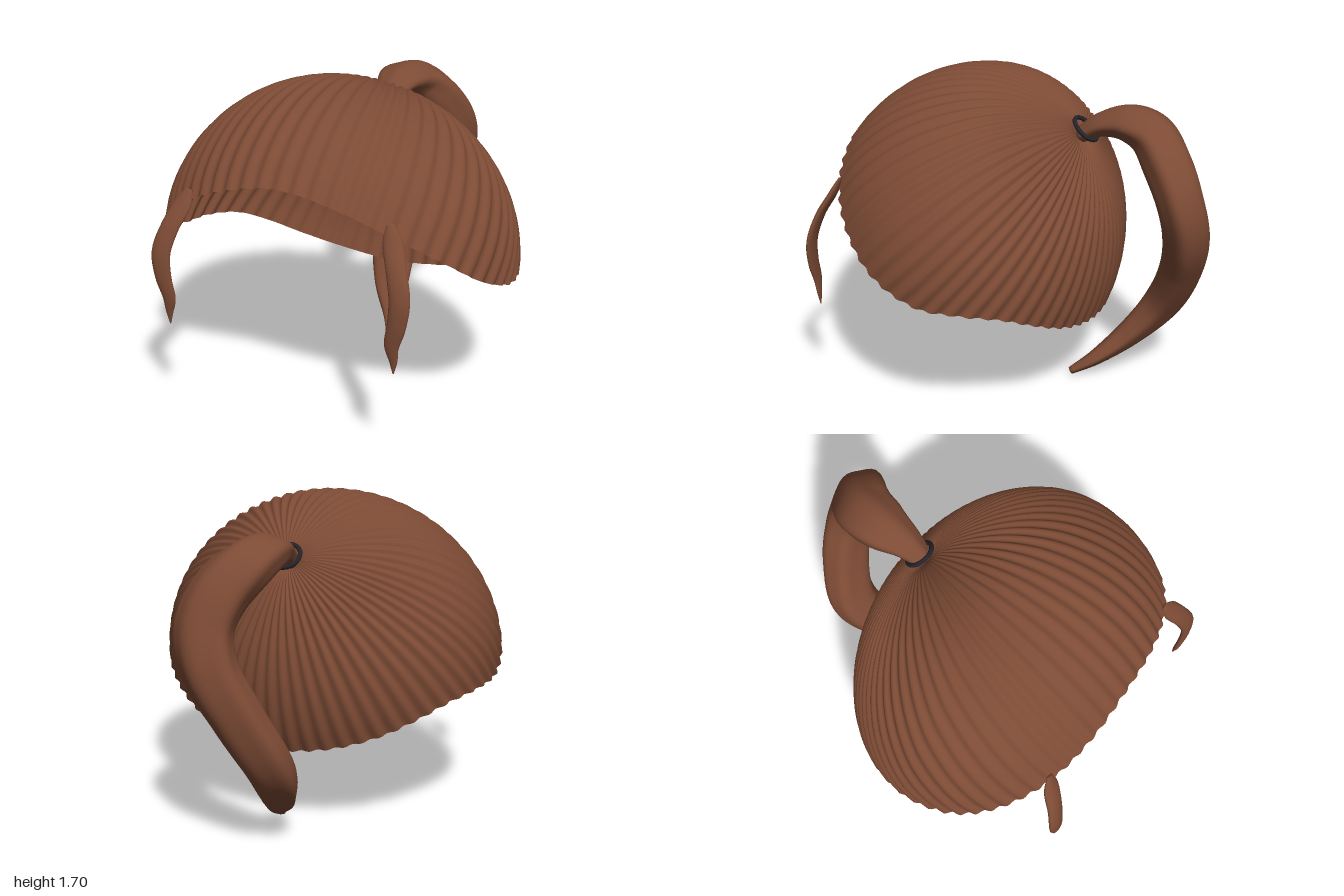
import * as THREE from 'three';

const hair = new THREE.MeshStandardMaterial({ color: 0x7d4b35, side: THREE.DoubleSide });
const dark = new THREE.MeshStandardMaterial({ color: 0x24242a });
const V = (x, y, z) => new THREE.Vector3(x, y, z);

// Smooth surface through rows of points, each row a closed loop
function skin(name, rows) {
  const n = rows[0].length;
  const index = [];
  for (let i = 0; i < rows.length - 1; i++) {
    for (let j = 0; j < n; j++) {
      const a = i * n + j, b = i * n + (j + 1) % n;
      index.push(a, b, a + n, b, b + n, a + n);
    }
  }
  const geo = new THREE.BufferGeometry().setFromPoints(rows.flat());
  geo.setIndex(index);
  geo.computeVertexNormals();
  const mesh = new THREE.Mesh(geo, hair);
  mesh.name = name;
  return mesh;
}

// Lock of hair: sections are [x, y, z, half width, half depth]
function lock(name, sections, lobes, depth, steps, sides) {
  const path = new THREE.CatmullRomCurve3(sections.map(s => V(s[0], s[1], s[2])));
  const size = new THREE.CatmullRomCurve3(sections.map((s, i) => V(s[3], s[4], i * 0.1)));
  const rows = [];
  for (let i = 0; i <= steps; i++) {
    const t = i / steps;
    const c = path.getPoint(t), w = size.getPoint(t), T = path.getTangent(t);
    const side = V(1, 0, 0).addScaledVector(T, -T.x).normalize();
    const up = T.clone().cross(side);
    const row = [];
    for (let j = 0; j < sides; j++) {
      const a = j / sides * Math.PI * 2;
      const r = 1 + depth * Math.cos(lobes * a + 0.6);
      row.push(c.clone()
        .addScaledVector(side, w.x * r * Math.cos(a))
        .addScaledVector(up, w.y * r * Math.sin(a)));
    }
    rows.push(row);
  }
  // Close both ends
  rows.unshift(rows[0].map(() => path.getPoint(0)));
  rows.push(rows[0].map(() => path.getPoint(1)));
  return skin(name, rows);
}

// Ribbed cap: arcs over an ellipsoid from the hairline to the gathering point
function cap() {
  const toUnit = p => V(p.x / 0.945, (p.y - 0.82) / 0.885, (p.z - 0.25) / (p.z > 0.25 ? 0.85 : 0.75)).normalize();
  const fromUnit = (u, k) => V(u.x * k * 0.945, 0.82 + u.y * k * 0.885, 0.25 + u.z * k * (u.z > 0 ? 0.85 : 0.75));
  const half = [
    [0, 1.35, 0.93], [0.28, 1.30, 0.92], [0.53, 1.19, 0.86], [0.75, 1.03, 0.71],
    [0.88, 0.88, 0.52], [0.95, 0.78, 0.28], [0.93, 0.76, 0.10], [0.84, 0.72, -0.10],
    [0.71, 0.65, -0.22], [0.53, 0.56, -0.32], [0.29, 0.48, -0.40], [0, 0.44, -0.43],
  ];
  const mirrored = half.slice(1, -1).reverse().map(([x, y, z]) => [-x, y, z]);
  const rim = new THREE.CatmullRomCurve3([...half, ...mirrored].map(p => V(...p)), true);
  const ribs = 60, n = ribs * 6, steps = 36;
  const ends = rim.getSpacedPoints(n).slice(0, n).map(toUnit);
  const pole = toUnit(V(0, 1.44, -0.3));
  const rows = [];
  for (let i = 0; i <= steps; i++) {
    const t = 1 - Math.pow(i / steps, 0.8);
    rows.push(ends.map((e, j) => {
      const ang = pole.angleTo(e);
      const u = pole.clone().multiplyScalar(Math.sin((1 - t) * ang))
        .addScaledVector(e, Math.sin(t * ang)).divideScalar(Math.sin(ang));
      const wave = 0.009 * Math.cos(j / n * ribs * Math.PI * 2) * Math.min(1, t * 3);
      const dip = 0.05 * Math.exp(-Math.pow(t * ang / 0.08, 2));
      return fromUnit(u, 1 + wave - dip);
    }));
  }
  return skin('hairCap', rows);
}

export function createModel() {
  const model = new THREE.Group();
  model.name = 'ponytailHair';
  model.add(cap());

  // Ponytail sweeping up, back and down to a tip
  model.add(lock('ponytail', [
    [0, 1.41, -0.28, 0.055, 0.04], [0, 1.48, -0.39, 0.09, 0.06], [0, 1.505, -0.53, 0.135, 0.09],
    [0.03, 1.465, -0.66, 0.15, 0.11], [0.12, 1.34, -0.77, 0.155, 0.12], [0.17, 1.17, -0.85, 0.155, 0.115],
    [0.13, 0.98, -0.88, 0.15, 0.117], [0.0, 0.73, -0.84, 0.145, 0.11], [-0.11, 0.46, -0.73, 0.14, 0.1],
    [-0.07, 0.25, -0.56, 0.105, 0.07], [0.02, 0.11, -0.39, 0.06, 0.04], [0.06, 0.025, -0.26, 0.025, 0.02],
  ], 5, 0.05, 80, 40));

  // Hair tie
  const tie = new THREE.Mesh(new THREE.TorusGeometry(0.075, 0.012, 10, 40), dark);
  tie.name = 'hairTie';
  tie.position.set(0, 1.445, -0.305);
  tie.lookAt(0, 1.445 + 0.74, -0.305 - 0.67);
  model.add(tie);

  // Loose locks framing the face
  for (const [name, s] of [['leftFaceLock', 1], ['rightFaceLock', -1]]) {
    model.add(lock(name, [
      [s * 0.54, 1.24, 0.845, 0.02, 0.008], [s * 0.565, 1.17, 0.875, 0.05, 0.018],
      [s * 0.61, 1.06, 0.935, 0.052, 0.02], [s * 0.645, 0.93, 0.975, 0.054, 0.02],
      [s * 0.635, 0.8, 0.983, 0.048, 0.018], [s * 0.61, 0.69, 0.978, 0.038, 0.014],
      [s * 0.617, 0.61, 0.97, 0.022, 0.009], [s * 0.617, 0.54, 0.966, 0.003, 0.003],
    ], 3, 0.06, 40, 16));
  }
  return model;
}
